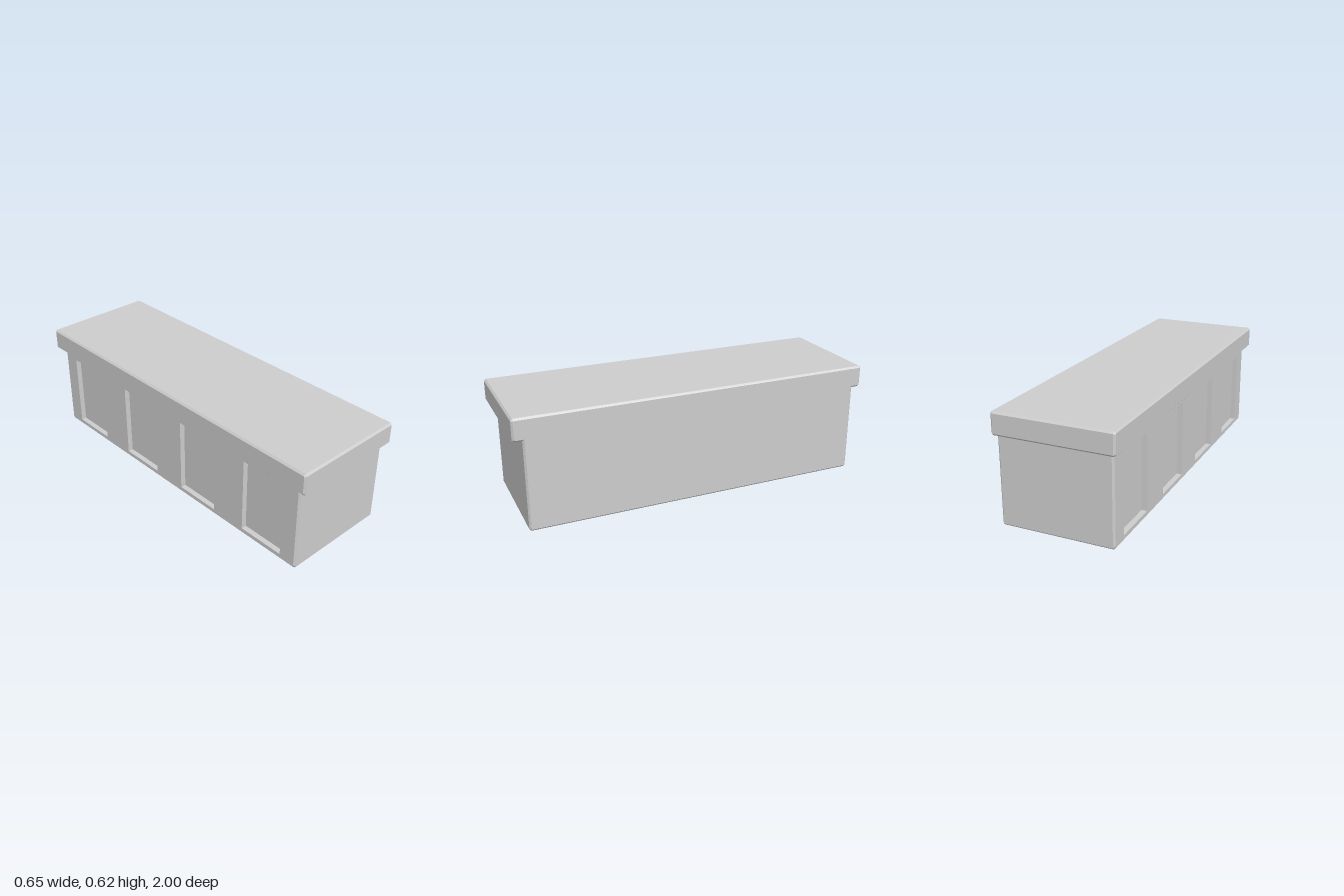
import * as THREE from 'three';

const C = 0.01; // chamfer on every outer edge

function shapeOf(points) {
  return new THREE.Shape(points.map(([u, v]) => new THREE.Vector2(u, v)));
}

// Rectangle in the length/height plane with clipped corners
function clippedRect(h, y0, y1) {
  return shapeOf([
    [-h + C, y0], [h - C, y0], [h, y0 + C], [h, y1 - C],
    [h - C, y1], [-h + C, y1], [-h, y1 - C], [-h, y0 + C],
  ]);
}

// Extrude across the width, from x0 to x1, with chamfered ends
function chamferedSlab(shape, x0, x1) {
  return new THREE.ExtrudeGeometry(shape, {
    depth: x1 - x0 - 2 * C, bevelEnabled: true, bevelSegments: 1,
    bevelThickness: C, bevelSize: C, bevelOffset: -C,
  }).rotateY(Math.PI / 2).translate(x0 + C, 0, 0);
}

export function createModel() {
  const group = new THREE.Group();
  const grey = new THREE.MeshStandardMaterial({ color: 0xcccccc });
  grey.name = 'light grey';
  const add = (name, geometry) => {
    const mesh = new THREE.Mesh(geometry, grey);
    mesh.name = name;
    group.add(mesh);
  };

  const bodyHalf = 0.95, topHalf = 1, topBottom = 0.495, height = 0.617;

  // Main block: T-shaped side outline, flush on the left side
  const right = [
    [bodyHalf - C, 0], [bodyHalf, C], [bodyHalf, topBottom],
    [topHalf - C, topBottom], [topHalf, topBottom + C],
    [topHalf, height - C], [topHalf - C, height],
  ];
  const left = right.map(([u, v]) => [-u, v]).reverse();
  const block = chamferedSlab(shapeOf([...right, ...left]), -0.263, 0.321);
  const p = block.attributes.position;
  for (let i = 0; i < p.count; i++) {
    // the flush side leans out very slightly towards the floor
    if (p.getX(i) > 0.2) p.setX(i, p.getX(i) + 0.003 * (1 - p.getY(i) / height));
  }
  block.computeVertexNormals();
  add('counterBlock', block);

  // Overhanging edge of the top on the panelled side
  add('topOverhang', chamferedSlab(clippedRect(topHalf, topBottom, height), -0.325, -0.24));

  // Panelled face with four recesses cut through to the main block
  const face = shapeOf([
    [-bodyHalf + C, 0], [bodyHalf - C, 0], [bodyHalf, C],
    [bodyHalf, 0.5], [-bodyHalf, 0.5], [-bodyHalf, C],
  ]);
  for (const u of [-0.715, -0.238, 0.238, 0.715]) {
    const w = 0.134;
    face.holes.push(new THREE.Path([
      new THREE.Vector2(u - w, 0.033), new THREE.Vector2(u - w, 0.458),
      new THREE.Vector2(u + w, 0.458), new THREE.Vector2(u + w, 0.033),
    ]));
  }
  const panel = new THREE.ExtrudeGeometry(face, { depth: 0.05, steps: 5, bevelEnabled: false });
  const q = panel.attributes.position;
  for (let i = 0; i < q.count; i++) {
    // chamfer the outer rim only
    if (q.getZ(i) > 0.001) continue;
    const u = q.getX(i), v = q.getY(i);
    if (Math.abs(u) > 0.93) q.setX(i, u - Math.sign(u) * C);
    if (v < 0.02) q.setY(i, v + C);
  }
  panel.computeVertexNormals();
  panel.rotateY(Math.PI / 2).translate(-0.293, 0, 0);
  add('panelledFace', panel);

  return group;
}
